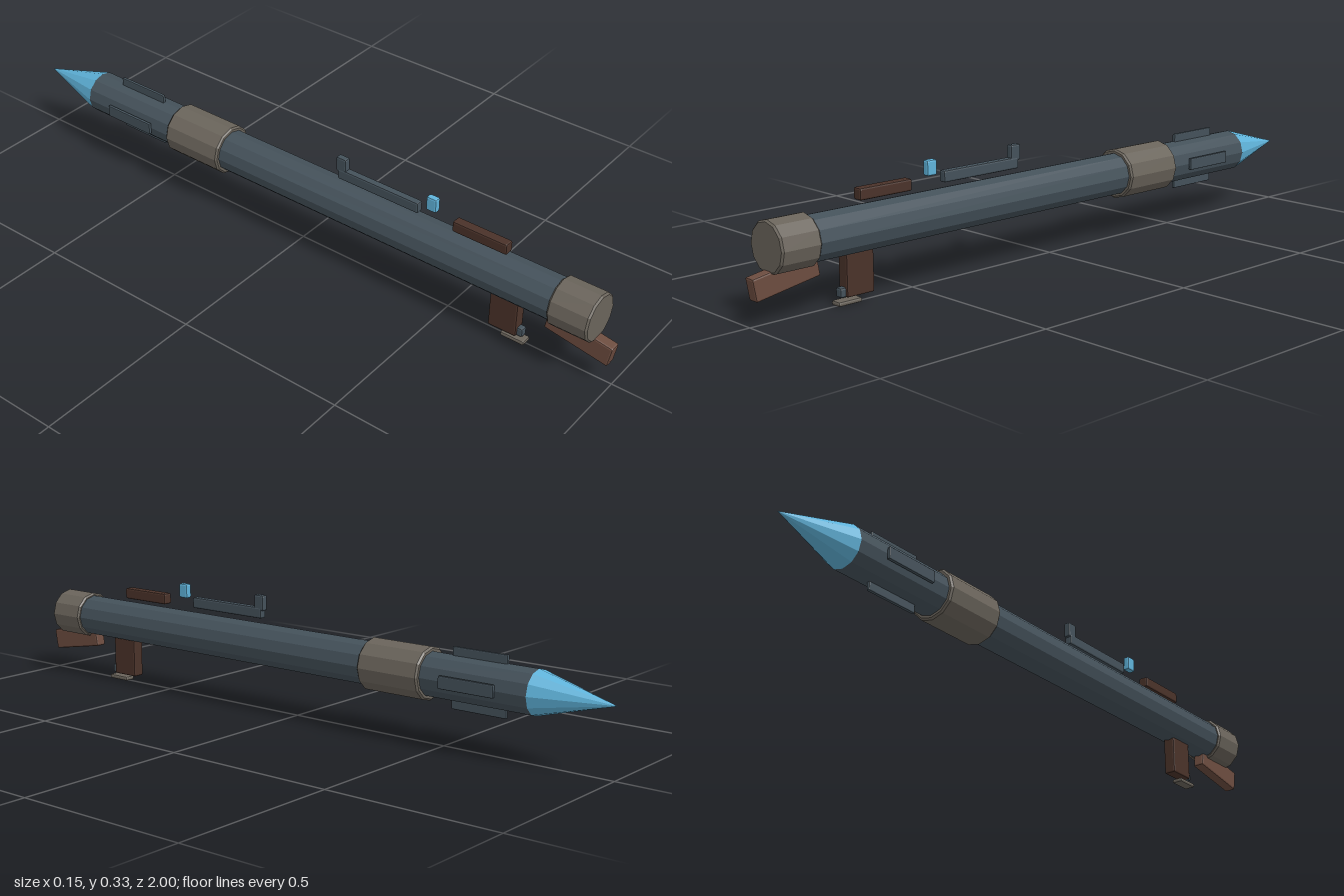
import * as THREE from 'three';
import { RoundedBoxGeometry } from 'three/addons/geometries/RoundedBoxGeometry.js';

const AXIS_Y = 0.188; // height of the launcher's bore axis

function material(name, color) {
  const m = new THREE.MeshStandardMaterial({ color, flatShading: true });
  m.name = name;
  return m;
}

export function createModel() {
  const group = new THREE.Group();
  const steel = material('blueSteel', 0x44515a);
  const band = material('warmGrey', 0x6a645b);
  const blue = material('skyBlue', 0x5fb3da);
  const wood = material('brownWood', 0x6c4c3f);
  const darkWood = material('darkBrown', 0x4a3229);

  function add(name, geometry, mat) {
    const mesh = new THREE.Mesh(geometry, mat);
    mesh.name = name;
    group.add(mesh);
    return mesh;
  }

  // Twelve-sided drum along z with chamfered, closed ends
  function drum(name, zBack, zFront, r, chamfer, mat) {
    const len = zBack - zFront;
    const profile = [
      [0, 0], [r - chamfer, 0], [r, chamfer],
      [r, len - chamfer], [r - chamfer, len], [0, len],
    ].map(([x, y]) => new THREE.Vector2(x, y));
    const mesh = add(name, new THREE.LatheGeometry(profile, 12).rotateX(-Math.PI / 2), mat);
    mesh.position.set(0, AXIS_Y, zBack);
    return mesh;
  }

  // Chamfered block given by its size and its centre
  function block(name, size, centre, chamfer, mat) {
    const mesh = add(name, new RoundedBoxGeometry(...size, 1, chamfer), mat);
    mesh.position.set(...centre);
    return mesh;
  }

  // Launch tube and its collars
  drum('launchTube', 0.86, -0.3, 0.061, 0.003, steel);
  drum('rearCollar', 0.945, 0.828, 0.069, 0.005, band);
  drum('muzzleCollar', -0.262, -0.458, 0.073, 0.005, band);

  // Rocket body and pointed nose
  drum('rocketBody', -0.44, -0.782, 0.061, 0.002, steel);
  const nose = add('noseCone', new THREE.ConeGeometry(0.061, 0.22, 12).rotateX(-Math.PI / 2), blue);
  nose.position.set(0, AXIS_Y, -0.89);

  // Four fins, all standing upright around the rocket body
  for (let i = 0; i < 4; i++) {
    const a = (i * Math.PI) / 2;
    block('fin', [0.01, 0.035, 0.167],
      [0.066 * Math.cos(a), AXIS_Y + 0.066 * Math.sin(a), -0.607], 0.003, steel);
  }

  // Sights floating above the tube
  block('rearRail', [0.029, 0.032, 0.167], [0, 0.276, 0.588], 0.005, darkWood);
  block('sightLens', [0.02, 0.042, 0.032], [0, 0.309, 0.433], 0.005, blue);
  block('sightRail', [0.022, 0.032, 0.266], [0, 0.279, 0.26], 0.005, steel);
  block('sightPost', [0.02, 0.045, 0.034], [0, 0.308, 0.137], 0.005, steel);

  // Grip, trigger and guard plate
  block('grip', [0.036, 0.125, 0.086], [0, 0.082, 0.679], 0.005, darkWood);
  block('trigger', [0.022, 0.026, 0.034], [0, 0.033, 0.721], 0.005, steel);
  block('guardPlate', [0.033, 0.013, 0.073], [0, 0.0065, 0.711], 0.005, band);

  // Shoulder stock, sloping down to the rear
  const stock = block('stock', [0.034, 0.061, 0.19], [0, 0.108, 0.899], 0.005, wood);
  stock.rotation.x = 0.17;

  return group;
}
